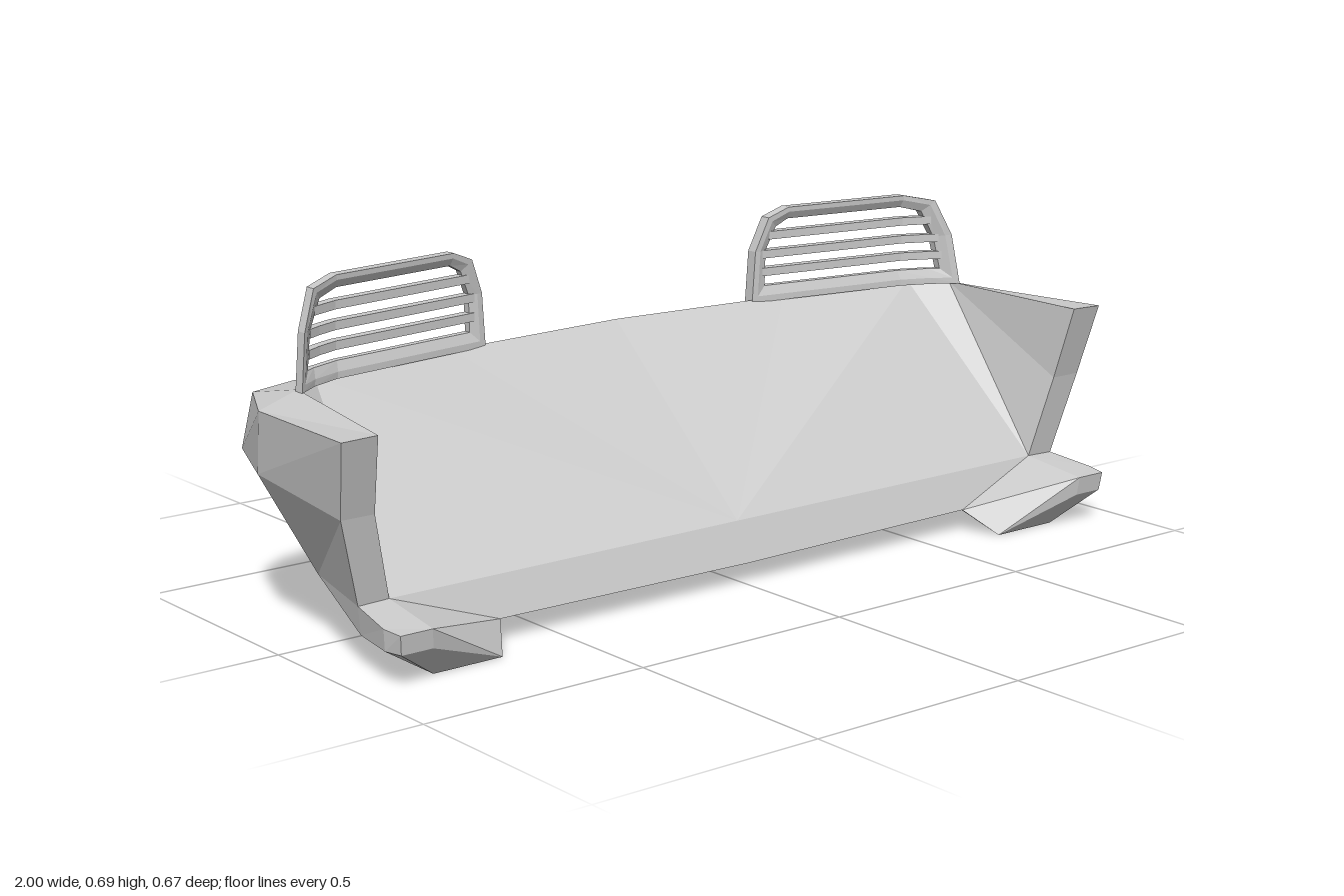
import * as THREE from 'three';

const material = new THREE.MeshStandardMaterial({ color: 0xcccccc, flatShading: true, side: THREE.DoubleSide });

// Builds one mesh from strips; each strip joins an upper and a lower row of points.
function stripMesh(name, strips, sides = [1, -1]) {
  const pos = [];
  const same = (a, b) => a.every((v, i) => v === b[i]);
  for (const s of sides) {
    const tri = (a, b, c) => {
      if (same(a, b) || same(b, c) || same(a, c)) return;
      for (const p of s > 0 ? [a, b, c] : [a, c, b]) pos.push(p[0] * s, p[1], p[2]);
    };
    for (const [up, low] of strips) {
      for (let i = 0; i < up.length - 1; i++) {
        tri(up[i], low[i], low[i + 1]);
        tri(up[i], low[i + 1], up[i + 1]);
      }
    }
  }
  const geo = new THREE.BufferGeometry();
  geo.setAttribute('position', new THREE.Float32BufferAttribute(pos, 3));
  geo.computeVertexNormals();
  const mesh = new THREE.Mesh(geo, material);
  mesh.name = name;
  return mesh;
}

function createBumper() {
  const g = new THREE.Group();
  g.name = 'bumper';

  // top ridge, from the wrap-around end to the centre
  const A = [1, 0.47, 0.25], R3 = [0.975, 0.463, -0.085], R2 = [0.895, 0.46, -0.243];
  const R1 = [0.78, 0.46, -0.28], Rm = [0.5, 0.46, -0.29], R0 = [0, 0.46, -0.307];
  // lower edge of the face band
  const F = [0.98, 0.31, 0.208], B3 = [0.97, 0.333, -0.105], B2 = [0.908, 0.342, -0.27];
  const B1 = [0.79, 0.338, -0.305], Bm = [0.5, 0.343, -0.316], B0 = [0, 0.345, -0.333];
  // lower corner edge
  const C = [0.93, 0.128, 0.18], L3 = [0.89, 0.135, -0.025], L2 = [0.8, 0.13, -0.11], L1 = [0.67, 0.13, -0.165];
  // recess and underside
  const Im = [0.5, 0.31, -0.22], I0 = [0, 0.31, -0.237];
  const Sm = [0.65, 0.103, -0.055], S0 = [0, 0.105, -0.07];
  const E = [0.625, 0.05, 0.21], E0 = [0, 0.045, 0.212];
  // inner top edge and inner panel
  const P0 = [0, 0.492, -0.23], Pm = [0.45, 0.491, -0.2], P1 = [0.8, 0.49, -0.165], P2 = [0.875, 0.487, -0.105];
  const Ai = [0.92, 0.472, 0.25], Fi = [0.905, 0.31, 0.208], D = [0.86, 0.13, 0.18], Q0 = [0, 0.13, 0.18];
  // corner tips
  const T0 = [0.945, 0.114, 0.29], T1 = [0.937, 0.11, 0.335], V = [0.943, 0.07, 0.29], T2 = [0.933, 0.07, 0.33];
  const W = [0.925, 0.07, 0.18], H = [0.83, 0, 0.28], G = [0.67, 0, 0.28];
  const K = [0.865, 0.11, 0.335], K2 = [0.862, 0.07, 0.33];

  g.add(stripMesh('faceBand', [[[A, R3, R2, R1, Rm, R0], [F, B3, B2, B1, Bm, B0]]]));
  g.add(stripMesh('lowerCorners', [[[F, B3, B2, B1, Bm], [C, L3, L2, L1, L1]]]));
  g.add(stripMesh('topLip', [[[R0, Rm, R1, R2, R3, A], [P0, Pm, P1, P2, P2, Ai]]]));
  g.add(stripMesh('recess', [
    [[Bm, B0], [Im, I0]],
    [[Im, I0], [Sm, S0]],
    [[Bm, Im], [L1, Sm]],
  ]));
  g.add(stripMesh('underside', [[[Sm, S0], [E, E0]]]));
  g.add(stripMesh('innerPanel', [
    [[P0, Pm, P1, P2], [Q0, Q0, Q0, D]],
    [[Q0, D], [E0, E]],
  ]));
  g.add(stripMesh('sideEnds', [
    [[P2, Ai], [D, Fi]],
    [[Ai, A], [Fi, F]],
    [[Fi, F], [D, C]],
  ]));
  g.add(stripMesh('cornerTips', [
    [[T1, T0, C, L3], [T2, V, W, L3]],
    [[T2, V, W, L3, L2, L1], [H, H, H, H, H, G]],
    [[Sm, E], [L1, G]],
    [[D, C], [K, T0]],
    [[K, T0], [K, T1]],
    [[K, T1], [K2, T2]],
    [[K2, T2], [G, H]],
    [[D, K, K2], [E, E, G]],
  ]));
  return g;
}

// Plan curve the lamp guards follow, leaning slightly forward near the top
const bends = [[0.36, -0.203], [0.76, -0.143], [0.83, -0.114], [0.89, -0.07]];
function guardZ(x, y) {
  let i = 0;
  while (i < bends.length - 2 && x > bends[i + 1][0]) i++;
  const [x0, z0] = bends[i], [x1, z1] = bends[i + 1];
  return z0 + (z1 - z0) * (x - x0) / (x1 - x0) + Math.max(0, y - 0.6) * 0.07;
}

// Joins closed cross-sections into a bar or a closed loop
function sectionStrips(sections) {
  return sections.slice(0, -1).map((s, i) => {
    const n = sections[i + 1];
    return [[...s, s[0]], [...n, n[0]]];
  });
}

function createGuard(side) {
  const g = new THREE.Group();
  g.name = side > 0 ? 'leftLampGuard' : 'rightLampGuard';
  const depth = 0.025;

  // frame: outer and inner outline with matching corners
  const outer = [[0.362, 0.485], [0.37, 0.6], [0.4, 0.675], [0.45, 0.695], [0.76, 0.695], [0.83, 0.68], [0.865, 0.6], [0.882, 0.485]];
  const inner = [[0.4, 0.52], [0.402, 0.6], [0.425, 0.652], [0.455, 0.668], [0.755, 0.668], [0.805, 0.655], [0.835, 0.595], [0.848, 0.52]];
  // extra pair on the base keeps the bottom rail on the curve
  outer.push([0.83, 0.485], [0.76, 0.485]);
  inner.push([0.825, 0.52], [0.755, 0.52]);
  const frame = outer.map(([ox, oy], i) => {
    const [ix, iy] = inner[i];
    const sx = ox + (ix - ox) * 0.4, sy = oy + (iy - oy) * 0.4;
    const zo = guardZ(ox, oy), zi = guardZ(ix, iy);
    // the inner edge of the front face is bevelled back
    return [[ox, oy, zo], [sx, sy, guardZ(sx, sy)], [ix, iy, zi - 0.008], [ix, iy, zi - depth], [ox, oy, zo - depth]];
  });
  frame.push(frame[0]);
  g.add(stripMesh('guardFrame', sectionStrips(frame), [side]));

  // horizontal bars
  for (const [y, x0, x1] of [[0.552, 0.39, 0.848], [0.592, 0.39, 0.842], [0.634, 0.405, 0.825]]) {
    const bar = [x0, 0.76, 0.81, x1].map((x) => {
      const z = guardZ(x, y) - 0.002, h = 0.009;
      return [[x, y + h, z], [x, y - h, z], [x, y - h, z - 0.023], [x, y + h, z - 0.023]];
    });
    g.add(stripMesh('guardBar', sectionStrips(bar), [side]));
  }
  return g;
}

export function createModel() {
  const model = new THREE.Group();
  model.name = 'bumperWithLampGuards';
  model.add(createBumper(), createGuard(1), createGuard(-1));
  return model;
}
